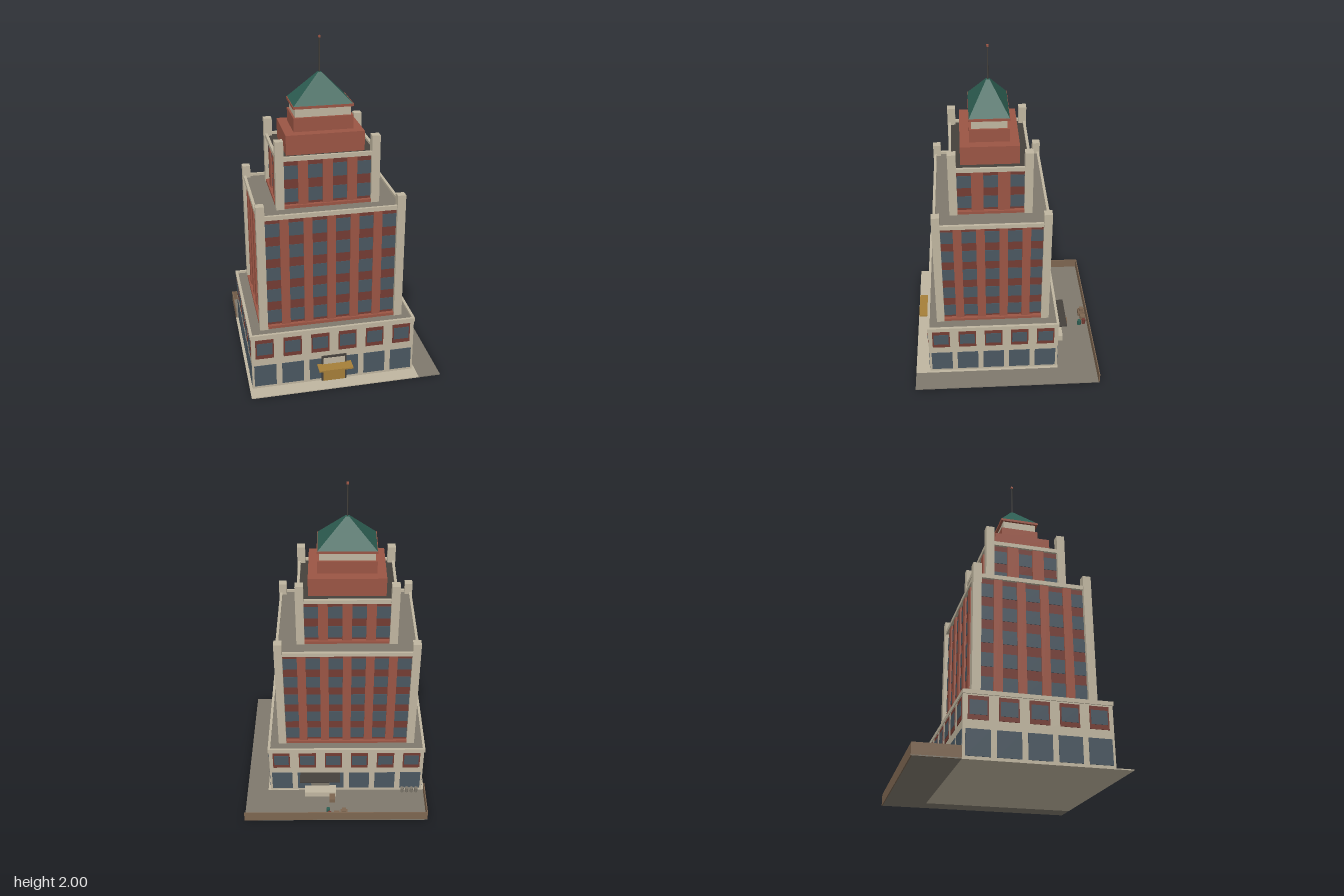
import * as THREE from 'three';

const mat = (name, color) => {
  const m = new THREE.MeshStandardMaterial({ color });
  m.name = name;
  return m;
};

export function createModel() {
  const M = {
    stone: mat('limestone', 0xc0b6a0), brick: mat('brick', 0x9b5544),
    spandrel: mat('dark brick', 0x743c33), glass: mat('window glass', 0x4a5761),
    paving: mat('grey paving', 0x7f796d), dark: mat('dark metal', 0x45413c),
    copper: mat('green copper', 0x2d5e52), gold: mat('bronze gold', 0xa67f39),
    wood: mat('brown wood', 0x7d6650),
  };
  const model = new THREE.Group();
  model.name = 'tower block';

  const add = (parent, name, geo, material, x, y, z) => {
    const mesh = new THREE.Mesh(geo, material);
    mesh.name = name;
    mesh.position.set(x, y, z);
    parent.add(mesh);
    return mesh;
  };
  // Box given by centre x, z, bottom y0, top y1
  const box = (parent, name, material, x, z, w, d, y0, y1) =>
    add(parent, name, new THREE.BoxGeometry(w, y1 - y0, d), material, x, (y0 + y1) / 2, z);
  // Rectangular parapet made of four rails
  const ring = (parent, name, material, hx, hz, t, y0, y1) => {
    for (const s of [-1, 1]) {
      box(parent, name, material, 0, s * (hz - t / 2), 2 * hx, t, y0, y1);
      box(parent, name, material, s * (hx - t / 2), 0, t, 2 * (hz - t), y0, y1);
    }
  };
  // Four side groups, each with its facade facing local +z
  const sides = (parent, hx, hz, build) => {
    for (let k = 0; k < 4; k++) {
      const side = new THREE.Group();
      side.name = ['frontFacade', 'leftFacade', 'backFacade', 'rightFacade'][k];
      side.rotation.y = k * Math.PI / 2;
      parent.add(side);
      build(side, k % 2 ? hz : hx, k % 2 ? hx : hz, k % 2, k);
    }
  };

  // Lot: stone slab under the building, paved alley around two sides
  box(model, 'sidewalk', M.stone, -0.0675, 0.124, 1.015, 0.9, 0, 0.006);
  box(model, 'rearAlley', M.paving, 0, -0.4505, 1.15, 0.249, 0, 0.006);
  box(model, 'sideAlley', M.paving, 0.5075, 0.124, 0.135, 0.9, 0, 0.006);
  box(model, 'rearWall', M.wood, 0, -0.572, 1.15, 0.006, 0, 0.068);
  box(model, 'alleyEndWall', M.wood, -0.572, -0.4475, 0.006, 0.243, 0, 0.068);

  const tower = new THREE.Group();
  tower.name = 'building';
  tower.position.set(-0.067, 0, 0.082);
  model.add(tower);

  // Podium with shop windows and framed upper windows
  const bx = 0.49, bz = 0.403;
  box(tower, 'podium', M.stone, 0, 0, 2 * bx, 2 * bz, 0.004, 0.35);
  box(tower, 'podiumRoof', M.paving, 0, 0, 0.97, 0.79, 0.35, 0.354);
  ring(tower, 'podiumParapet', M.stone, 0.496, 0.407, 0.016, 0.345, 0.368);
  sides(tower, bx, bz, (side, hw, depth, odd) => {
    const n = odd ? 5 : 6, pitch = odd ? 0.162 : 0.165;
    for (let i = 0; i < n; i++) {
      const x = (i - (n - 1) / 2) * pitch;
      box(side, 'shopWindow', M.glass, x, depth, 0.13, 0.006, 0.022, 0.162);
      box(side, 'windowSurround', M.spandrel, x, depth, 0.108, 0.006, 0.21, 0.336);
      box(side, 'upperWindow', M.glass, x, depth + 0.002, 0.092, 0.006, 0.236, 0.314);
    }
  });

  // Brick tier: piers, window grid, corner pillars, parapet
  const tier = (name, o) => {
    const g = new THREE.Group();
    g.name = name;
    tower.add(g);
    const { hx, hz, y0, y1 } = o;
    const ix = hx - 0.024, iz = hz - 0.024;
    box(g, 'tierCore', M.spandrel, 0, 0, 2 * ix, 2 * iz, y0, y1 - 0.022);
    box(g, 'brickLedge', M.brick, 0, 0, 2 * hx - 0.004, 2 * hz - 0.004, y0 + 0.003, y0 + 0.02);
    box(g, 'tierRoof', o.roof, 0, 0, 2 * ix + 0.02, 2 * iz + 0.02, y1 - 0.022, y1 - 0.015);
    ring(g, 'tierParapet', M.stone, hx - 0.005, hz - 0.005, 0.016, y1 - 0.025, y1);
    for (const sx of [-1, 1]) for (const sz of [-1, 1])
      box(g, 'cornerPillar', M.stone, sx * (hx - 0.024), sz * (hz - 0.024), 0.048, 0.048, y0, o.pillarTop);
    sides(g, ix, iz, (side, hw, depth, odd) => {
      const n = o.columns[odd], pitch = o.pitch[odd], w = 0.084;
      for (let i = 0; i < n; i++) {
        const x = (i - (n - 1) / 2) * pitch;
        for (let r = 0; r < o.rows; r++) {
          const y = o.firstRow + r * 0.1377;
          box(side, 'window', M.glass, x, depth, w, 0.006, y - 0.04, y + 0.04);
        }
        if (i < n - 1)
          box(side, 'brickPier', M.brick, x + pitch / 2, depth, pitch - w, 0.024, y0, y1 - 0.025);
      }
    });
  };
  tier('mainTier', { hx: 0.428, hz: 0.346, y0: 0.365, y1: 1.085, pillarTop: 1.147, roof: M.paving,
    columns: [6, 5], pitch: [0.135, 0.134], rows: 5, firstRow: 0.44 });
  tier('upperTier', { hx: 0.299, hz: 0.242, y0: 1.075, y1: 1.385, pillarTop: 1.478, roof: M.dark,
    columns: [4, 3], pitch: [0.141, 0.154], rows: 2, firstRow: 1.15 });

  // Stepped crown
  box(tower, 'lowerCrown', M.brick, 0, 0, 0.452, 0.34, 1.365, 1.486);
  box(tower, 'upperCrown', M.brick, 0, 0, 0.344, 0.23, 1.486, 1.566);
  box(tower, 'crownBand', M.stone, 0, 0, 0.322, 0.204, 1.566, 1.617);
  box(tower, 'eave', M.brick, 0, 0, 0.348, 0.234, 1.617, 1.632);

  // Hipped roof: four-sided frustum turned square to the walls
  const roof = new THREE.CylinderGeometry(0.01 * Math.SQRT2, 0.17 * Math.SQRT2, 0.163, 4, 1).toNonIndexed();
  roof.rotateY(Math.PI / 4);
  const p = roof.attributes.position;
  for (let i = 0; i < p.count; i++) if (p.getY(i) < 0) p.setZ(i, p.getZ(i) * 0.115 / 0.17);
  roof.computeVertexNormals();
  add(tower, 'hippedRoof', roof, M.copper, 0, 1.7135, 0);
  add(tower, 'mast', new THREE.CylinderGeometry(0.003, 0.004, 0.2, 8), M.dark, 0, 1.892, 0);
  box(tower, 'mastTip', M.brick, 0, 0, 0.012, 0.012, 1.988, 2);

  // Front entrance
  box(model, 'entranceFrame', M.dark, -0.067, 0.487, 0.152, 0.014, 0.006, 0.178);
  box(model, 'entrancePanel', M.stone, -0.067, 0.492, 0.132, 0.008, 0.125, 0.166);
  box(model, 'entranceDoor', M.gold, -0.067, 0.492, 0.132, 0.008, 0.006, 0.12);
  box(model, 'entranceCanopy', M.gold, -0.067, 0.524, 0.205, 0.076, 0.116, 0.125);

  // Rear loading dock
  box(model, 'dockDoor', M.paving, 0.1, -0.323, 0.12, 0.008, 0.045, 0.145);
  box(model, 'dockPlatform', M.stone, 0.1, -0.353, 0.2, 0.064, 0.006, 0.046);
  box(model, 'dockCanopy', M.dark, 0.101, -0.365, 0.254, 0.08, 0.157, 0.165);
  box(model, 'dockStep', M.wood, 0.023, -0.41, 0.035, 0.05, 0.006, 0.034);

  // Alley clutter
  box(model, 'largeCrate', M.wood, -0.051, -0.54, 0.043, 0.043, 0.006, 0.04);
  box(model, 'stackedCrate', M.wood, -0.051, -0.54, 0.026, 0.026, 0.04, 0.062);
  box(model, 'smallCrate', M.wood, -0.005, -0.545, 0.034, 0.034, 0.006, 0.036);
  const barrel = new THREE.CylinderGeometry(0.013, 0.013, 0.036, 6).toNonIndexed();
  barrel.computeVertexNormals();
  add(model, 'redBarrel', barrel, M.spandrel, 0.041, 0.024, -0.546);
  add(model, 'greenBarrel', barrel, M.copper, 0.05, 0.024, -0.515);
  for (let i = 0; i < 4; i++)
    add(model, 'trashCan', new THREE.CylinderGeometry(0.012, 0.01, 0.036, 8), M.paving, -0.521 + i * 0.03, 0.024, -0.343);

  return model;
}
